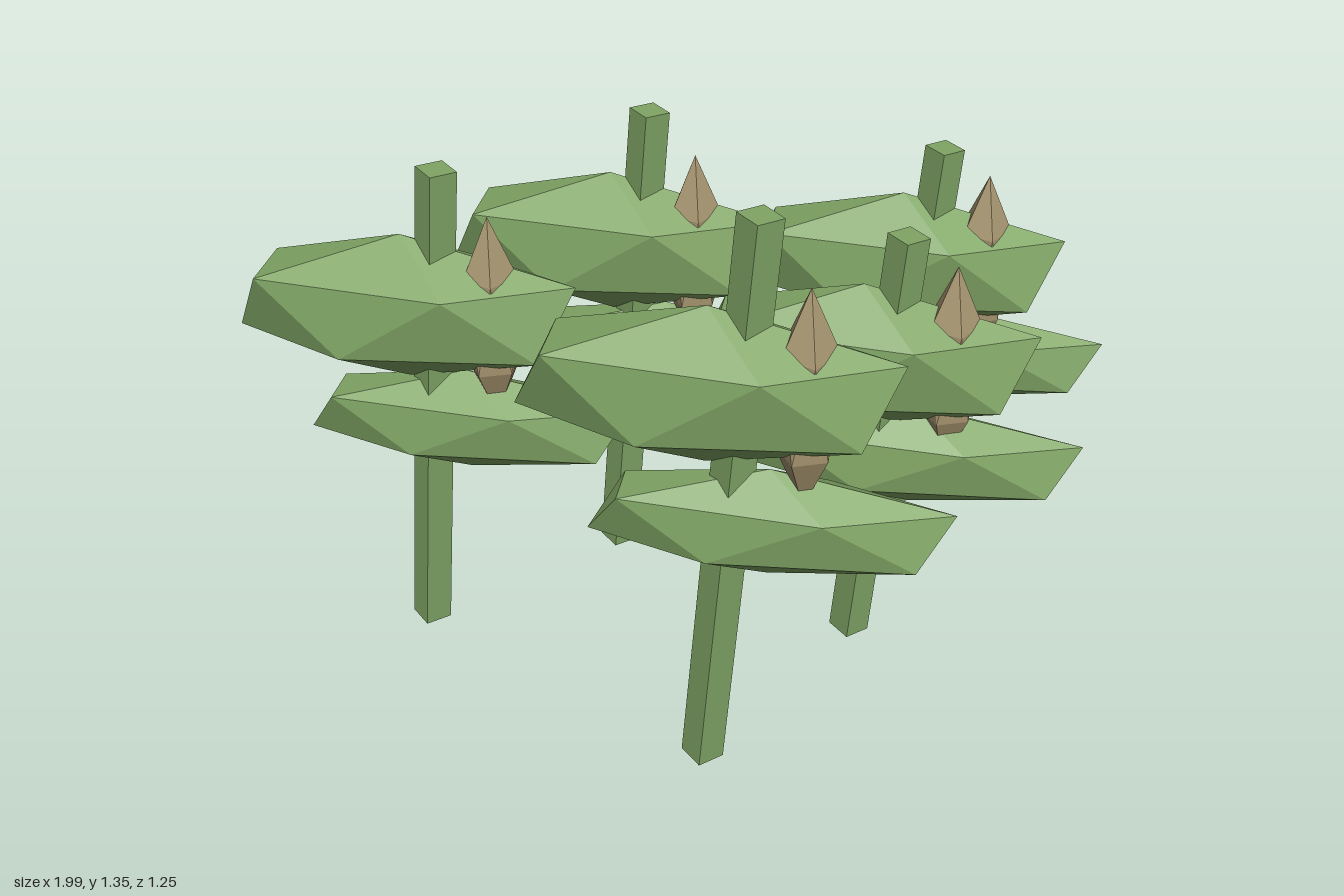
import * as THREE from 'three';

const green = new THREE.MeshStandardMaterial({ color: 0x7fa464, flatShading: true });
green.name = 'leafGreen';
const tan = new THREE.MeshStandardMaterial({ color: 0xa5946f, flatShading: true });
tan.name = 'budTan';

// Stretched icosahedron, turned so that one corner points straight up
function crystal(rx, ry, rz) {
  return new THREE.IcosahedronGeometry(1, 0)
    .rotateZ(-Math.atan(2 / (1 + Math.sqrt(5))))
    .scale(rx, ry, rz);
}

const upperGeo = crystal(0.442, 0.18, 0.147);
const lowerGeo = crystal(0.428, 0.13, 0.103);
const budGeo = crystal(0.07, 0.253, 0.083);

function add(group, name, geometry, material, x, y) {
  const mesh = new THREE.Mesh(geometry, material);
  mesh.name = name;
  mesh.position.set(x, y, 0);
  group.add(mesh);
  return mesh;
}

// One plant; s sets the stem length and the heights of the parts on it
function createPlant(x, z, s) {
  const plant = new THREE.Group();
  plant.name = 'plant';
  plant.position.set(x, 0, z);
  const stemGeo = new THREE.CylinderGeometry(0.047, 0.047, 1.347 * s, 4);
  add(plant, 'stem', stemGeo, green, 0.05, 0.676 * s).rotation.z = -0.075;
  add(plant, 'lowerLeaf', lowerGeo, green, 0.1325, 0.651 * s);
  add(plant, 'upperLeaf', upperGeo, green, 0, 0.967 * s);
  add(plant, 'bud', budGeo, tan, 0.202, 0.95 * s);
  return plant;
}

export function createModel() {
  const model = new THREE.Group();
  model.name = 'plantCluster';
  // x, z, height factor of each plant
  const plants = [
    [0.14, 0.5, 1],
    [-0.605, 0.11, 0.9],
    [-0.21, -0.29, 0.9],
    [0.415, -0.01, 0.8],
    [0.472, -0.5, 0.8],
  ];
  for (const [x, z, s] of plants) model.add(createPlant(x, z, s));
  return model;
}
